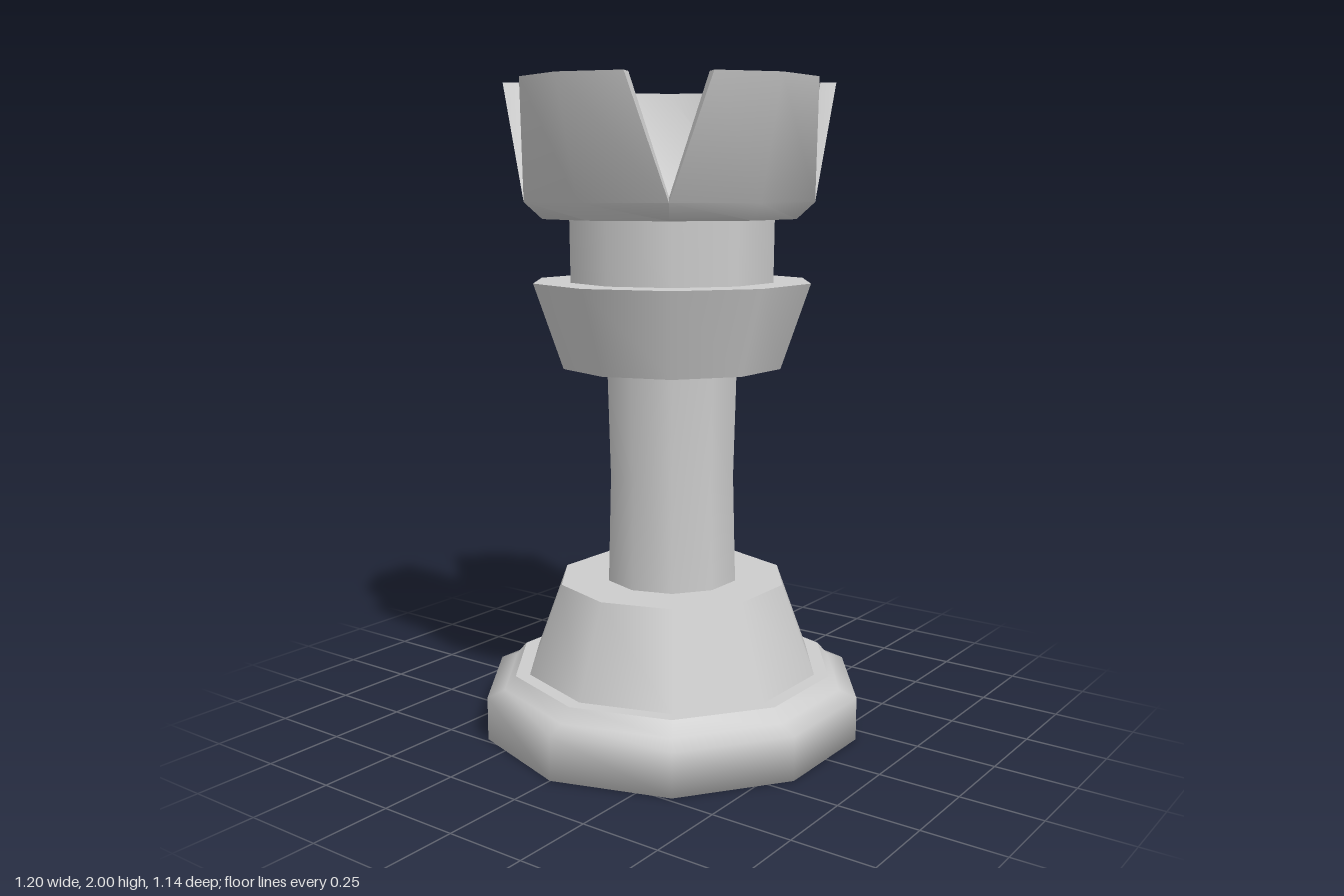
import * as THREE from 'three';
import { toCreasedNormals } from 'three/addons/utils/BufferGeometryUtils.js';

const SIDES = 10;
const rad = THREE.MathUtils.degToRad;

// One ten-sided band; each band is smooth within itself, sharp against the next.
function band(points) {
  const profile = points.map(([r, y]) => new THREE.Vector2(r, y));
  return new THREE.LatheGeometry(profile, SIDES, Math.PI / 2);
}

// Five flared petals joined at the V notches, with a hollow inside and a closed underside.
function crownGeometry() {
  const pos = [];
  const at = (r, deg, y) => [r * Math.cos(rad(deg)), y, r * Math.sin(rad(deg))];
  const tri = (a, b, c) => pos.push(...a, ...b, ...c);
  const quad = (a, b, c, d) => { tri(a, b, c); tri(a, c, d); };

  // Section from the underside, up the outside, over the rim, down to the floor.
  function column(base, top, middle) {
    return [
      at(0, base, 1.6),
      at(0.395, base, 1.6),
      at(middle ? 0.435 : 0.45, base, 1.65),
      at(middle ? 0.522 : 0.497, top, 2),
      at(middle ? 0.465 : 0.45, top, 2),
      at(middle ? 0.375 : 0.405, base, 1.665),
      at(middle ? 0.30 : 0.365, base, 1.635),
      at(0, base, 1.635),
    ];
  }

  for (let i = 0; i < 5; i++) {
    const a = i * 72;
    const cols = [column(a, a + 14, false), column(a + 36, a + 36, true), column(a + 72, a + 58, false)];
    for (let c = 0; c < 2; c++) {
      const p = cols[c], q = cols[c + 1];
      for (let k = 0; k < p.length - 1; k++) {
        if (k === 0) tri(p[0], p[1], q[1]);
        else if (k === p.length - 2) tri(p[k], p[k + 1], q[k]);
        else quad(p[k], p[k + 1], q[k + 1], q[k]);
      }
    }
    // Side walls of the notches
    const [l, , r] = cols;
    quad(l[2], l[5], l[4], l[3]);
    quad(r[2], r[3], r[4], r[5]);
  }
  const geo = new THREE.BufferGeometry();
  geo.setAttribute('position', new THREE.Float32BufferAttribute(pos, 3));
  return toCreasedNormals(geo, rad(48));
}

export function createModel() {
  const model = new THREE.Group();
  const gray = new THREE.MeshStandardMaterial({ color: 0xcccccc });
  gray.name = 'stone gray';

  function add(name, geometry) {
    const mesh = new THREE.Mesh(geometry, gray);
    mesh.name = name;
    model.add(mesh);
    return mesh;
  }

  // Foot
  add('footBottom', band([[0, 0], [0.6, 0]]));
  add('footRim', band([[0.5, 0.02], [0.6, 0], [0.6, 0.135], [0.545, 0.155], [0.51, 0.195]]));
  add('footLedge', band([[0.51, 0.195], [0.46, 0.195]]));

  // Tapered pedestal
  add('pedestal', band([[0.465, 0.195], [0.36, 0.475]]));
  add('pedestalTop', band([[0.36, 0.475], [0.19, 0.475]]));

  // Slightly waisted column
  add('column', band([[0.208, 0.475], [0.199, 0.81], [0.208, 1.15]]));

  // Flared collar
  add('collarUnderside', band([[0.19, 1.15], [0.345, 1.15]]));
  add('collar', band([[0.345, 1.15], [0.435, 1.41]]));
  add('collarTop', band([[0.435, 1.41], [0.3, 1.41]]));

  // Neck and crown
  add('neck', band([[0.32, 1.41], [0.322, 1.6]]));
  add('crown', crownGeometry()).position.x = -0.013;

  return model;
}
